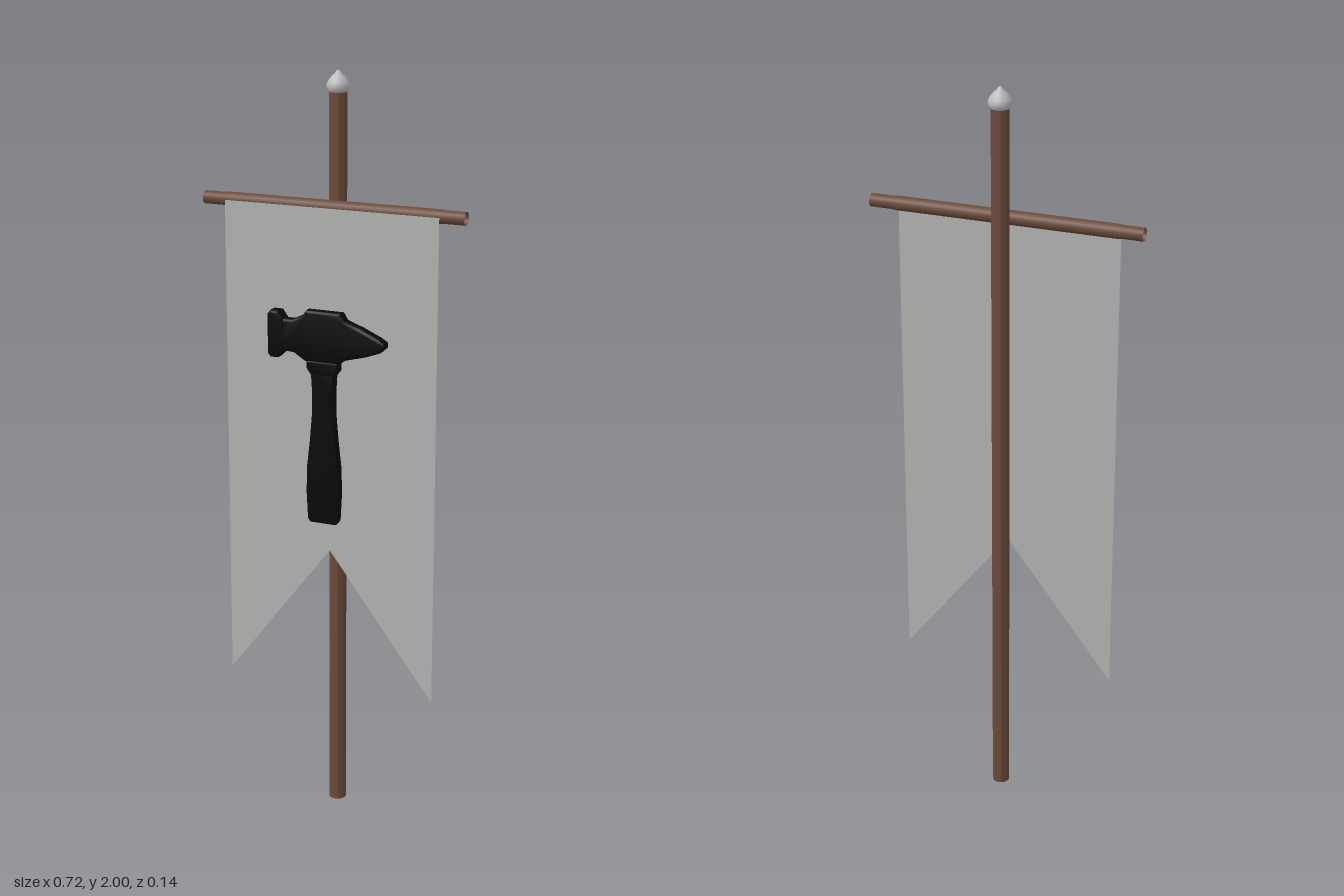
import * as THREE from 'three';
import { toCreasedNormals } from 'three/addons/utils/BufferGeometryUtils.js';

const material = (name, color, side = THREE.FrontSide) => {
  const m = new THREE.MeshStandardMaterial({ color, side });
  m.name = name;
  return m;
};

const points = (list) => list.map(([x, y]) => new THREE.Vector2(x, y));

export function createModel() {
  const wood = material('brown wood', 0x6b4a3a, THREE.DoubleSide);
  const steel = material('pale steel', 0xbcbcbc);
  const linen = material('grey linen', 0xb2b4b1, THREE.DoubleSide);
  const black = material('black', 0x0a0a0a);

  const group = new THREE.Group();
  group.name = 'hangingBanner';
  const add = (name, geometry, mat, x = 0, y = 0, z = 0, parent = group) => {
    const mesh = new THREE.Mesh(geometry, mat);
    mesh.name = name;
    mesh.position.set(x, y, z);
    parent.add(mesh);
    return mesh;
  };

  // Upright pole and its pointed finial
  const poleZ = -0.037;
  add('pole', toCreasedNormals(new THREE.CylinderGeometry(0.023, 0.023, 1.95, 24), 0.7), wood, 0, 0.975, poleZ);
  const tip = [[0, 1.942], [0.02, 1.942], [0.027, 1.95], [0.03, 1.96], [0.027, 1.971], [0.018, 1.983], [0.008, 1.992], [0.005, 1.997], [0, 2]];
  add('finial', new THREE.LatheGeometry(points(tip), 24), steel, 0, 0, poleZ);

  // Crossbar, open at both ends and slightly thicker where the cloth hangs
  const barProfile = [[0.017, -0.36], [0.017, -0.305], [0.0185, -0.29], [0.0185, 0.29], [0.017, 0.305], [0.017, 0.36]];
  const bar = add('crossbar', new THREE.LatheGeometry(points(barProfile), 20), wood, 0, 1.66, -0.003);
  bar.rotation.z = -Math.PI / 2;

  // Swallow-tailed cloth
  const cloth = new THREE.Shape(points([[-0.295, 1.66], [-0.295, 0.36], [0, 0.745], [0.295, 0.36], [0.295, 1.66]]));
  add('cloth', new THREE.ShapeGeometry(cloth), linen, 0, 0, 0.0155);

  // Hammer emblem: bevelled outlines, centred in depth
  const hammer = new THREE.Group();
  hammer.name = 'hammer';
  hammer.position.z = 0.05;
  group.add(hammer);
  const solid = (name, outline, depth, bevel) => {
    const geometry = new THREE.ExtrudeGeometry(new THREE.Shape(points(outline)), {
      depth: depth - 2 * bevel, bevelEnabled: true, bevelThickness: bevel,
      bevelSize: bevel, bevelOffset: -bevel, bevelSegments: 3,
    });
    geometry.translate(0, 0, bevel - depth / 2);
    add(name, toCreasedNormals(geometry, 0.6), black, 0, 0, 0, hammer);
  };

  solid('hammerFace', [[-0.153, 1.282], [-0.145, 1.272], [-0.125, 1.272], [-0.108, 1.29],
    [-0.108, 1.376], [-0.122, 1.396], [-0.145, 1.396], [-0.153, 1.386]], 0.038, 0.007);
  solid('hammerHead', [[-0.125, 1.292], [-0.08, 1.29], [-0.048, 1.27], [0.045, 1.27], [0.06, 1.282],
    [0.12, 1.298], [0.158, 1.312], [0.172, 1.325], [0.172, 1.337], [0.155, 1.348], [0.105, 1.37],
    [0.062, 1.385], [0.05, 1.404], [-0.045, 1.404], [-0.055, 1.39], [-0.085, 1.376], [-0.125, 1.376]], 0.032, 0.007);

  // Mirrored collar and handle outlines, from right-hand half profiles
  const mirrored = (half) => [...half, ...half.map(([x, y]) => [-x, y]).reverse()];
  solid('collar', mirrored([[0.032, 1.236], [0.044, 1.252], [0.044, 1.274]]), 0.03, 0.005);
  solid('handle', mirrored([[0.036, 0.835], [0.043, 0.845], [0.047, 0.92], [0.045, 0.99],
    [0.037, 1.06], [0.031, 1.13], [0.031, 1.2], [0.034, 1.25]]), 0.028, 0.007);

  return group;
}
